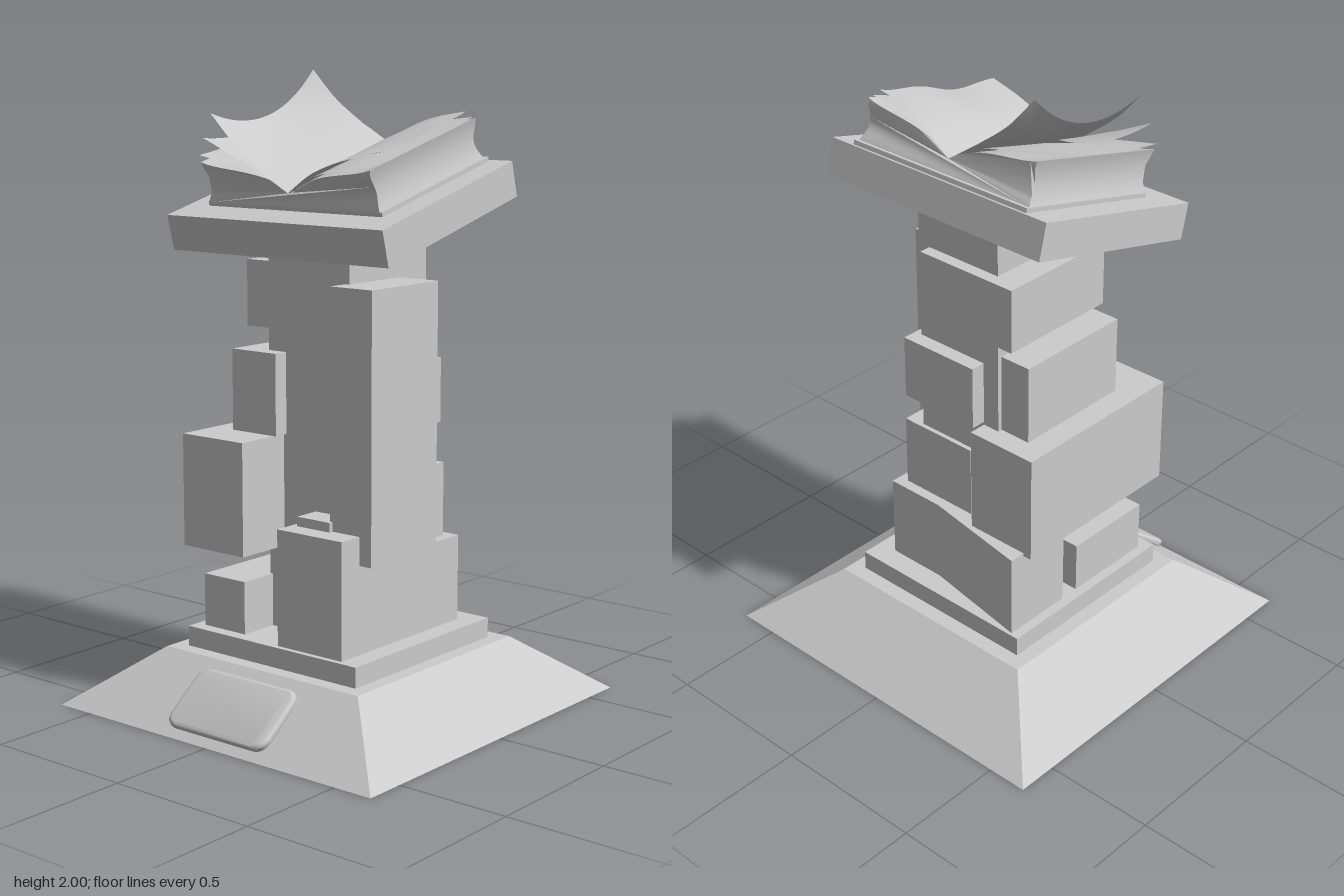
import * as THREE from 'three';
import { toCreasedNormals } from 'three/addons/utils/BufferGeometryUtils.js';

const grey = new THREE.MeshStandardMaterial({ color: 0xcccccc });
const flat = new THREE.MeshStandardMaterial({ color: 0xcccccc, flatShading: true });
const thin = new THREE.MeshStandardMaterial({ color: 0xcccccc, side: THREE.DoubleSide });

function add(parent, name, geometry, material = grey) {
  const mesh = new THREE.Mesh(geometry, material);
  mesh.name = name;
  parent.add(mesh);
  return mesh;
}

// Box given by its limits on each axis
function block(parent, name, [x0, x1], [y0, y1], [z0, z1]) {
  const mesh = add(parent, name, new THREE.BoxGeometry(x1 - x0, y1 - y0, z1 - z0));
  mesh.position.set((x0 + x1) / 2, (y0 + y1) / 2, (z0 + z1) / 2);
  return mesh;
}

// Thin sheet: profile of [z, height] from the spine outwards, ends of the free edge lifted
function sheet(profile, u0, u1, lift, ripple = 0) {
  const curve = new THREE.CatmullRomCurve3(profile.map(([z, v]) => new THREE.Vector3(0, v, z)));
  const geo = new THREE.PlaneGeometry(1, 1, 20, 16);
  const pos = geo.attributes.position;
  for (let i = 0; i < pos.count; i++) {
    const s = pos.getX(i) * 2, t = pos.getY(i) + 0.5;
    const p = curve.getPoint(t);
    const wave = lift * (s * s - 1) + ripple * Math.sin(s * 5);
    pos.setXYZ(i, u0 + (u1 - u0) * (s + 1) / 2, p.y + wave * t * t, p.z);
  }
  geo.computeVertexNormals();
  return geo;
}

function makeBook() {
  const book = new THREE.Group();
  book.name = 'openBook';

  // Page block: two bulging halves with hollow fore edges
  const s = new THREE.Shape();
  s.moveTo(-0.34, 0.012);
  s.lineTo(0.34, 0.012);
  s.quadraticCurveTo(0.315, 0.075, 0.335, 0.145);
  s.bezierCurveTo(0.24, 0.115, 0.12, 0.135, 0, 0.055);
  s.bezierCurveTo(-0.12, 0.135, -0.24, 0.115, -0.335, 0.145);
  s.quadraticCurveTo(-0.315, 0.075, -0.34, 0.012);
  const pages = new THREE.ExtrudeGeometry(s, { depth: 0.52, steps: 8, bevelEnabled: false, curveSegments: 12 });
  pages.rotateY(Math.PI / 2);
  // Ends pinched at mid height, leaning towards the low side at the top
  const pos = pages.attributes.position;
  for (let i = 0; i < pos.count; i++) {
    const v = pos.getY(i), w = pos.getX(i) / 0.52;
    pos.setX(i, -0.222 + w * 0.52 + (w - 0.5) * 0.02 * Math.cos(v * 45) - 0.05 * v);
  }
  add(book, 'pageBlock', toCreasedNormals(pages, 0.6));
  block(book, 'cover', [-0.228, 0.322], [0, 0.014], [-0.345, 0.345]);

  // Loose pages lifting on both sides of the spine
  add(book, 'frontPage', sheet([[0, 0.06], [0.1, 0.12], [0.2, 0.155], [0.32, 0.18]], -0.235, 0.275, 0.015, 0.008), thin);
  add(book, 'frontLowerPage', sheet([[0, 0.057], [0.1, 0.11], [0.2, 0.135], [0.335, 0.152]], -0.235, 0.285, 0.01), thin);
  add(book, 'raisedPage', sheet([[-0.005, 0.06], [-0.1, 0.13], [-0.19, 0.205], [-0.265, 0.3]], -0.228, 0.275, 0.08), thin);
  add(book, 'middlePage', sheet([[-0.005, 0.058], [-0.1, 0.12], [-0.2, 0.165], [-0.315, 0.22]], -0.228, 0.285, 0.045), thin);
  add(book, 'backLowerPage', sheet([[-0.005, 0.057], [-0.1, 0.112], [-0.22, 0.14], [-0.345, 0.165]], -0.23, 0.285, 0.015), thin);
  return book;
}

export function createModel() {
  const model = new THREE.Group();
  model.name = 'bookPedestal';

  // Sloped base and plinth
  const base = new THREE.CylinderGeometry(0.392 * Math.SQRT2, 0.632 * Math.SQRT2, 0.185, 4);
  base.rotateY(Math.PI / 4);
  add(model, 'base', base, flat).position.y = 0.0925;
  block(model, 'plinth', [-0.343, 0.34], [0.185, 0.25], [-0.343, 0.343]);

  // Column with stacked stones around it
  block(model, 'column', [-0.165, 0.215], [0.25, 1.55], [-0.15, 0.175]);
  block(model, 'tallFrontStone', [-0.24, 0.085], [0.53, 1.37], [0.16, 0.32]);
  block(model, 'lowLeftFrontStone', [-0.325, 0.085], [0.25, 0.62], [0.02, 0.275]);
  block(model, 'smallSideStone', [-0.255, -0.16], [0.53, 0.65], [0.04, 0.17]);
  block(model, 'lowBackStone', [-0.3, 0.02], [0.25, 0.42], [-0.31, -0.14]);
  block(model, 'wideBackStone', [-0.36, 0.275], [0.52, 0.88], [-0.34, -0.09]);
  block(model, 'upperBackStone', [-0.215, 0.2], [0.88, 1.14], [-0.26, -0.08]);
  block(model, 'tinyFrontStone', [0.08, 0.165], [0.53, 0.62], [0.15, 0.26]);
  block(model, 'narrowSideStone', [0.14, 0.23], [0.53, 0.77], [-0.045, 0.24]);
  block(model, 'middleSideStone', [0.085, 0.265], [0.89, 1.1], [-0.09, 0.2]);
  block(model, 'topSideStone', [-0.165, 0.255], [1.21, 1.42], [-0.24, 0.13]);

  // Corner stone with a slanted side
  const plan = [[0.085, 0.275], [0.265, 0.275], [0.265, 0.07], [0.33, -0.31], [0.085, -0.31]];
  const corner = new THREE.ExtrudeGeometry(
    new THREE.Shape(plan.map(([x, z]) => new THREE.Vector2(x, -z))), { depth: 0.28, bevelEnabled: false });
  corner.rotateX(-Math.PI / 2);
  add(model, 'cornerStone', corner).position.y = 0.25;

  // Fallen slab with rounded corners resting on the slope of the base
  const w = 0.1, h = 0.188, r = 0.035;
  const slabShape = new THREE.Shape();
  slabShape.moveTo(-w + r, -h);
  slabShape.lineTo(w - r, -h);
  slabShape.quadraticCurveTo(w, -h, w, -h + r);
  slabShape.lineTo(w, h - r);
  slabShape.quadraticCurveTo(w, h, w - r, h);
  slabShape.lineTo(-w + r, h);
  slabShape.quadraticCurveTo(-w, h, -w, h - r);
  slabShape.lineTo(-w, -h + r);
  slabShape.quadraticCurveTo(-w, -h, -w + r, -h);
  const slabGeo = new THREE.ExtrudeGeometry(slabShape, {
    depth: 0.005, bevelThickness: 0.012, bevelSize: 0.012, bevelSegments: 3, curveSegments: 6 });
  slabGeo.rotateX(-Math.PI / 2);
  const slab = add(model, 'fallenSlab', toCreasedNormals(slabGeo, 0.9));
  slab.rotation.z = Math.atan2(0.185, 0.24);
  slab.position.set(-0.522, 0.094, 0.01);

  // Tilted top slab carrying the book
  const top = new THREE.Group();
  top.name = 'tiltedTop';
  block(top, 'topSlab', [-0.3335, 0.3335], [-0.115, 0], [-0.43, 0.425]);
  top.add(makeBook());
  top.position.set(-0.002, 1.643, 0);
  top.rotation.z = 0.258;
  model.add(top);

  return model;
}
